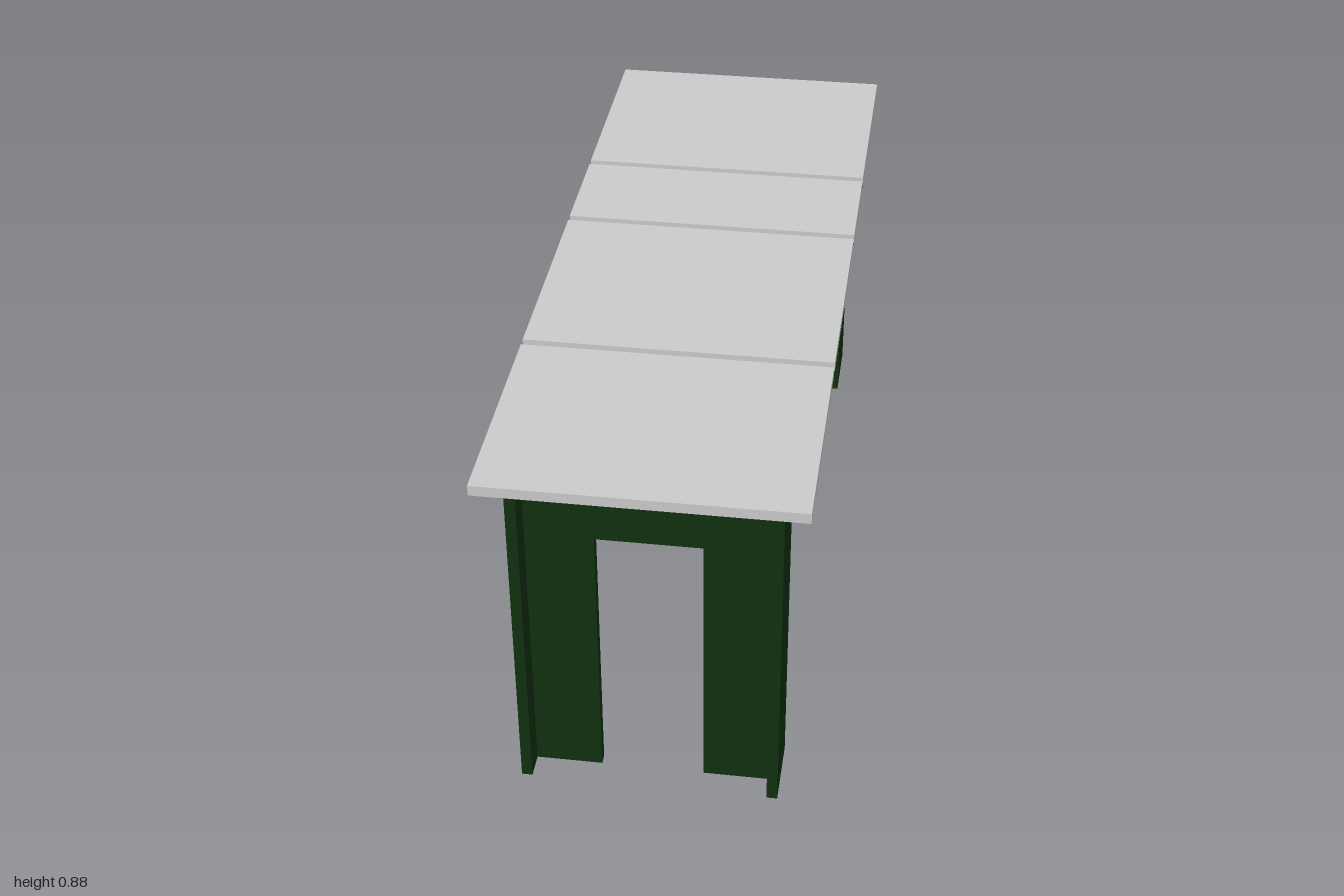
import * as THREE from 'three';

const grey = new THREE.MeshStandardMaterial({ color: 0xcccccc });
const green = new THREE.MeshStandardMaterial({ color: 0x113011 });

const FRAME_TOP = 0.855, ARCH = 0.67, BOARD = 0.025;

// Upright panel with a rectangular opening between two legs, extruded from z = 0 to BOARD
function archPanel(x0, x1, open0, open1) {
  const shape = new THREE.Shape([
    [x0, 0], [open0, 0], [open0, ARCH], [open1, ARCH],
    [open1, 0], [x1, 0], [x1, FRAME_TOP], [x0, FRAME_TOP],
  ].map(([x, y]) => new THREE.Vector2(x, y)));
  return new THREE.ExtrudeGeometry(shape, { depth: BOARD, bevelEnabled: false });
}

export function createModel() {
  const group = new THREE.Group();
  const add = (name, geometry, material, x = 0, y = 0, z = 0) => {
    const mesh = new THREE.Mesh(geometry, material);
    mesh.name = name;
    mesh.position.set(x, y, z);
    group.add(mesh);
    return mesh;
  };

  // Long side panels: the profile runs along z, the thickness along x
  const side = archPanel(-0.94, 0.94, -0.77, 0.755).rotateY(Math.PI / 2);
  add('leftSidePanel', side, green, 0.275);
  add('rightSidePanel', side, green, -0.3);

  // End panels, set in slightly from the ends of the side panels
  const end = archPanel(-0.275, 0.275, -0.12, 0.12);
  add('frontEndPanel', end, green, 0, 0, 0.88 - BOARD);
  add('backEndPanel', end, green, 0, 0, -0.88);

  // Top boards, from back to front
  const boards = [[-1, -0.445], [-0.425, -0.145], [-0.125, 0.435], [0.455, 1]];
  boards.forEach(([z0, z1], i) => {
    add(`topBoard${i + 1}`, new THREE.BoxGeometry(0.72, BOARD, z1 - z0), grey,
      0, FRAME_TOP + BOARD / 2, (z0 + z1) / 2);

    // Thin strip closing the bottom of the gap to the next board
    if (i < boards.length - 1) {
      const next = boards[i + 1][0];
      add(`gapStrip${i + 1}`, new THREE.BoxGeometry(0.72, 0.002, next - z1), green,
        0, FRAME_TOP + 0.001, (z1 + next) / 2);
    }
  });

  return group;
}
